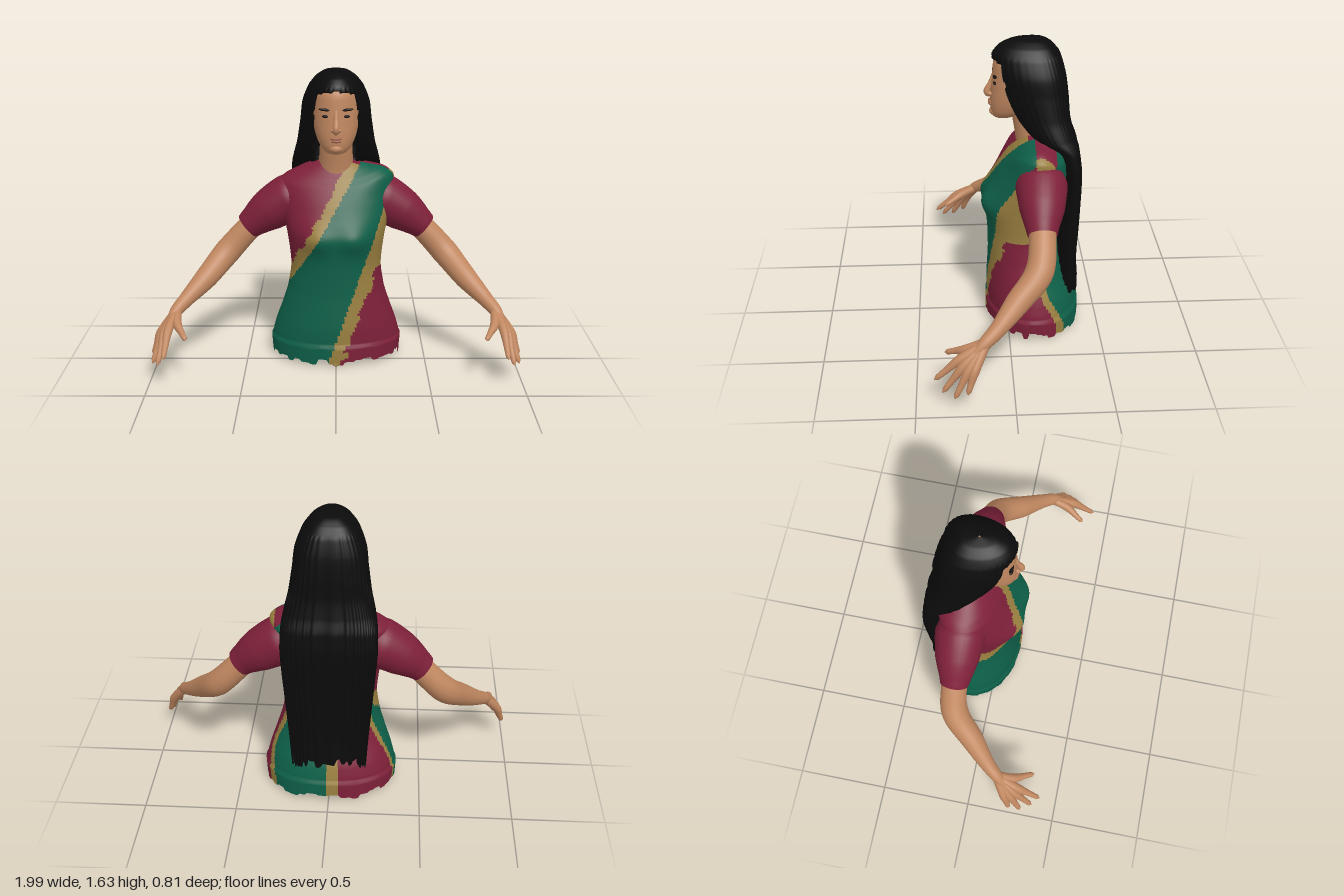
import * as THREE from 'three';
import { mergeVertices } from 'three/addons/utils/BufferGeometryUtils.js';

const mat = (name, color, side = THREE.FrontSide) => {
  const m = new THREE.MeshStandardMaterial({ color, side });
  m.name = name;
  return m;
};
const hash = (k) => { const s = Math.sin(k * 12.9898) * 43758.5453; return s - Math.floor(s); };
const smooth = THREE.MathUtils.smoothstep;

// Smoothly interpolated horizontal sections from rows of [y, halfWidth, zFront, zBack]
function sections(rows) {
  const a = new THREE.CatmullRomCurve3(rows.map((r) => new THREE.Vector3(r[1], r[2], r[3])));
  const b = new THREE.CatmullRomCurve3(rows.map((r) => new THREE.Vector3(0, r[0], 0)));
  return (v) => { const p = a.getPoint(v); return [b.getPoint(v).y, p.x, p.y, p.z]; };
}

// Point on an egg-shaped section; mid places the widest line, pow squares the back
function ring([y, w, zf, zb], ang, mid = 0.5, pow = 1) {
  const c = Math.cos(ang), s = Math.sin(ang), zm = zb + (zf - zb) * mid;
  const x = w * Math.sign(c) * Math.pow(Math.abs(c), s < 0 ? pow : 1);
  return [x, y, zm + s * (s > 0 ? zf - zm : zm - zb)];
}

// Closed loft; pick(x, y, z) gives a material index for every cell
function loft(name, nu, nv, f, materials, pick = () => 0) {
  const pos = [], lists = materials.map(() => []);
  for (let j = 0; j <= nv; j++) for (let i = 0; i < nu; i++) pos.push(...f((i / nu) * Math.PI * 2, j / nv));
  for (let j = 0; j < nv; j++) for (let i = 0; i < nu; i++) {
    const k = (i + 1) % nu, a = j * nu + i, b = j * nu + k, c = a + nu, d = b + nu;
    const mid = [0, 1, 2].map((n) => (pos[a * 3 + n] + pos[d * 3 + n]) / 2);
    lists[pick(...mid)].push(a, c, b, b, c, d);
  }
  const g = new THREE.BufferGeometry();
  g.setAttribute('position', new THREE.Float32BufferAttribute(pos, 3));
  g.setIndex(lists.flat());
  let start = 0;
  lists.forEach((l, n) => { g.addGroup(start, l.length, n); start += l.length; });
  g.computeVertexNormals();
  const m = new THREE.Mesh(g, materials);
  m.name = name;
  return m;
}

// Tube of changing thickness through points [x, y, z, radius]; sx mirrors it
function limb(name, pts, material, sx = 1, seg = 24, rad = 20) {
  const curve = new THREE.CatmullRomCurve3(pts.map((p) => new THREE.Vector3(p[0] * sx, p[1], p[2])));
  let g = new THREE.TubeGeometry(curve, seg, 1, rad);
  const p = g.attributes.position, v = new THREE.Vector3();
  for (let i = 0; i <= seg; i++) {
    const c = curve.getPointAt(i / seg), t = curve.getUtoTmapping(i / seg) * (pts.length - 1);
    const k = Math.min(Math.floor(t), pts.length - 2);
    const r = THREE.MathUtils.lerp(pts[k][3], pts[k + 1][3], t - k);
    for (let j = 0; j <= rad; j++) {
      const n = i * (rad + 1) + j;
      v.fromBufferAttribute(p, n).sub(c).multiplyScalar(r).add(c);
      p.setXYZ(n, v.x, v.y, v.z);
    }
  }
  g.deleteAttribute('uv');
  g.deleteAttribute('normal');
  g = mergeVertices(g, 1e-5);
  g.computeVertexNormals();
  const m = new THREE.Mesh(g, material);
  m.name = name;
  return m;
}

function blob(name, material, pos, scale, rotZ = 0) {
  const m = new THREE.Mesh(new THREE.SphereGeometry(1, 20, 12), material);
  m.name = name;
  m.position.set(...pos);
  m.scale.set(...scale);
  m.rotation.z = rotZ;
  return m;
}

export function createModel() {
  const model = new THREE.Group();
  model.name = 'longHairedFigure';
  const skin = mat('skin', 0xc08760);
  const cloth = mat('crimsonCloth', 0x7d2039, THREE.DoubleSide);
  const green = mat('greenSash', 0x0e6049);
  const gold = mat('goldTrim', 0x9a8040);
  const black = mat('blackHair', 0x0b0b0b, THREE.DoubleSide);
  const dark = mat('darkEyes', 0x140e0c);
  const lip = mat('lips', 0xa5694f);

  // Shirt body with draped sash and ragged hem
  const body = sections([
    [0.03, 0.352, 0.108, -0.39], [0.12, 0.357, 0.112, -0.388], [0.2, 0.34, 0.115, -0.37],
    [0.3, 0.305, 0.11, -0.325], [0.42, 0.268, 0.105, -0.287], [0.55, 0.25, 0.108, -0.275],
    [0.65, 0.258, 0.115, -0.28], [0.73, 0.27, 0.117, -0.295], [0.8, 0.285, 0.1, -0.31],
    [0.9, 0.305, 0.055, -0.33], [1.0, 0.32, 0, -0.33], [1.04, 0.28, -0.03, -0.318],
    [1.08, 0.2, -0.06, -0.29], [1.11, 0.14, -0.08, -0.265], [1.12, 0.1, -0.09, -0.25]]);
  const shirt = (inset) => (ang, v) => {
    const s = body(v);
    const out = (s[0] < 0.12 ? 0.01 : 0) - inset;
    let [x, y, z] = ring([s[0], s[1] + out, s[2] + out, s[3] - out], ang, 0.5, 0.85);
    const bust = (c) => Math.exp(-((x - c) ** 2) / 0.009 - ((y - 0.73) ** 2) / 0.006);
    if (z > -0.1) z += 0.036 * Math.min(1, bust(0.11) + bust(-0.11));
    y += 0.04 * smooth(x, 0.1, 0.28) * smooth(y, 0.93, 1.0) * smooth(z, -0.3, -0.15);
    if (y < 0.12) y = 0.12 - (0.12 - y) * (0.8 + 0.45 * hash(Math.floor(ang * 7)));
    return [x, y, z];
  };
  const CLOTH = 0, GREEN = 1, GOLD = 2;
  const pattern = (x, y, z) => {
    const jag = 0.035 * hash(Math.floor(y * 24));
    if (z > (x < 0 ? -0.2 : -0.14)) {
      const l = 0.11 - 0.6 * (1.07 - y), r = 0.33 - 0.355 * (1.07 - y);
      if (x > l && x < r) return GREEN;
      const bustGold = 0.05 * smooth(y, 0.5, 0.65);
      return x > l - 0.085 + jag && x < r + 0.06 + jag + bustGold && z > -0.09 - (x < 0 ? 1 : jag) ? GOLD : CLOTH;
    }
    if (x < 0) return x > -0.045 || (z > -0.225 && y < 0.55) ? GOLD : CLOTH;
    if (x > 0.29 && y > 0.8) return GOLD;
    const edge = -0.2 - 0.1 * (1 - smooth(y, 0.05, 0.3)) - 0.05 * smooth(y, 0.95, 1.03);
    if (z < edge) return x < 0.02 ? GOLD : GREEN;
    return z < edge + 0.04 && y < 1 ? GOLD : CLOTH;
  };
  model.add(loft('shirt', 150, 110, shirt(0), [cloth, green, gold], pattern));
  const inner = shirt(0.012);
  model.add(loft('shirtLining', 90, 24, (a, v) => inner(a, 0.01 + v * 0.3), [cloth]));

  // Belt inside the hem, with a small buckle
  model.add(loft('belt', 64, 2, (a, v) => ring([0.045 + v * 0.04, 0.335, 0.09, -0.37], a, 0.5, 0.85), [black]));
  const buckle = new THREE.Mesh(new THREE.TorusGeometry(0.02, 0.007, 8, 20), gold);
  buckle.name = 'buckle';
  buckle.position.set(0, 0.028, 0.113);
  model.add(buckle);

  // Neck and head
  model.add(limb('neck', [[0, 0.98, -0.16, 0.11], [0, 1.1, -0.14, 0.095], [0, 1.28, -0.1, 0.085]], skin));
  const skull = sections([
    [1.19, 0.01, 0.045, 0.02], [1.2, 0.052, 0.072, -0.04], [1.235, 0.086, 0.084, -0.1],
    [1.29, 0.11, 0.087, -0.16], [1.35, 0.122, 0.083, -0.2], [1.42, 0.125, 0.077, -0.22],
    [1.5, 0.12, 0.07, -0.22], [1.57, 0.09, 0.03, -0.18], [1.6, 0.01, -0.08, -0.1]]);
  model.add(loft('head', 48, 36, (a, v) => ring(skull(v), a), [skin]));

  // Face
  model.add(limb('nose', [[0, 1.43, 0.066, 0.012], [0, 1.38, 0.085, 0.013], [0, 1.335, 0.103, 0.019],
    [0, 1.32, 0.092, 0.018], [0, 1.312, 0.078, 0.004]], skin, 1, 20, 14));
  model.add(blob('chin', skin, [0, 1.226, 0.066], [0.036, 0.024, 0.026]));
  model.add(blob('upperLip', lip, [0, 1.284, 0.085], [0.033, 0.008, 0.014]));
  model.add(blob('lowerLip', lip, [0, 1.27, 0.084], [0.028, 0.009, 0.014]));
  for (const s of [-1, 1]) {
    model.add(blob('nostril', skin, [s * 0.017, 1.328, 0.087], [0.013, 0.011, 0.016]));
    model.add(blob('eye', dark, [s * 0.053, 1.4, 0.064], [0.021, 0.008, 0.008]));
    model.add(blob('eyebrow', dark, [s * 0.058, 1.435, 0.063], [0.034, 0.007, 0.01], s * 0.1));
  }

  // Long hair, opened around the face and ragged at the ends
  const mane = sections([
    [0.24, 0.19, -0.32, -0.34], [0.235, 0.2, -0.28, -0.385], [0.42, 0.215, -0.28, -0.375],
    [0.62, 0.23, -0.29, -0.383], [0.9, 0.25, -0.3, -0.39], [1.05, 0.25, -0.25, -0.375],
    [1.12, 0.24, -0.11, -0.35], [1.22, 0.215, -0.02, -0.328], [1.35, 0.195, 0.05, -0.318],
    [1.45, 0.183, 0.075, -0.305], [1.54, 0.148, 0.077, -0.278], [1.59, 0.108, 0.04, -0.24],
    [1.62, 0.06, -0.02, -0.195], [1.633, 0.004, -0.1, -0.11]]);
  model.add(loft('hair', 144, 110, (a, v) => {
    let [x, y, z] = ring(mane(v), a, 0.36, 0.6);
    const low = 1 - smooth(y, 0.9, 1.5), ripple = 0.006 * Math.sin(a * 36) * (0.3 + low);
    if (y < 1.55) z += ripple;
    if (y < 0.35) y += 0.07 * (hash(Math.floor(a * 9)) - 0.45) * (0.35 - y) / 0.11;
    const open = 0.116 - 0.02 * smooth(y, 1.4, 1.52);
    if (Math.abs(x) < open && y > 1.06 && y < 1.525 - 2.2 * x * x && z > -0.13) z = Math.max(-0.16, z - 0.11);
    return [x, y, z];
  }, [black]));

  // Sleeves, arms and hands
  for (const s of [1, -1]) {
    const side = new THREE.Group();
    side.name = s > 0 ? 'leftArm' : 'rightArm';
    side.add(limb('sleeve', [[0.14, 0.93, -0.17, 0.1], [0.26, 0.895, -0.17, 0.138], [0.38, 0.825, -0.165, 0.118],
      [0.46, 0.765, -0.16, 0.088], [0.495, 0.735, -0.16, 0.077]], cloth, s, 28, 32));
    side.add(limb('arm', [[0.4, 0.815, -0.16, 0.066], [0.5, 0.715, -0.16, 0.07], [0.615, 0.59, -0.135, 0.074],
      [0.72, 0.48, -0.02, 0.063], [0.82, 0.39, 0.085, 0.042], [0.87, 0.345, 0.15, 0.034], [0.9, 0.305, 0.2, 0.02]], skin, s, 36, 24));
    // Each finger runs from the wrist over its knuckle to the tip
    const fingers = {
      indexFinger: [[0.9, 0.275, 0.275], [0.912, 0.165, 0.405]],
      middleFinger: [[0.925, 0.25, 0.26], [0.95, 0.115, 0.365]],
      ringFinger: [[0.943, 0.235, 0.235], [0.985, 0.1, 0.305]],
      littleFinger: [[0.952, 0.235, 0.205], [0.99, 0.125, 0.24]],
      thumb: [[0.853, 0.3, 0.245], [0.797, 0.25, 0.35]],
    };
    for (const [name, [k, t]] of Object.entries(fingers)) {
      const mix = (f) => k.map((c, n) => c + (t[n] - c) * f);
      side.add(limb(name, [[0.865, 0.35, 0.14, 0.024], [...k, 0.025], [...mix(0.5), 0.017],
        [...mix(0.92), 0.013], [...t, 0.002]], skin, s, 16, 12));
    }
    model.add(side);
  }
  return model;
}
